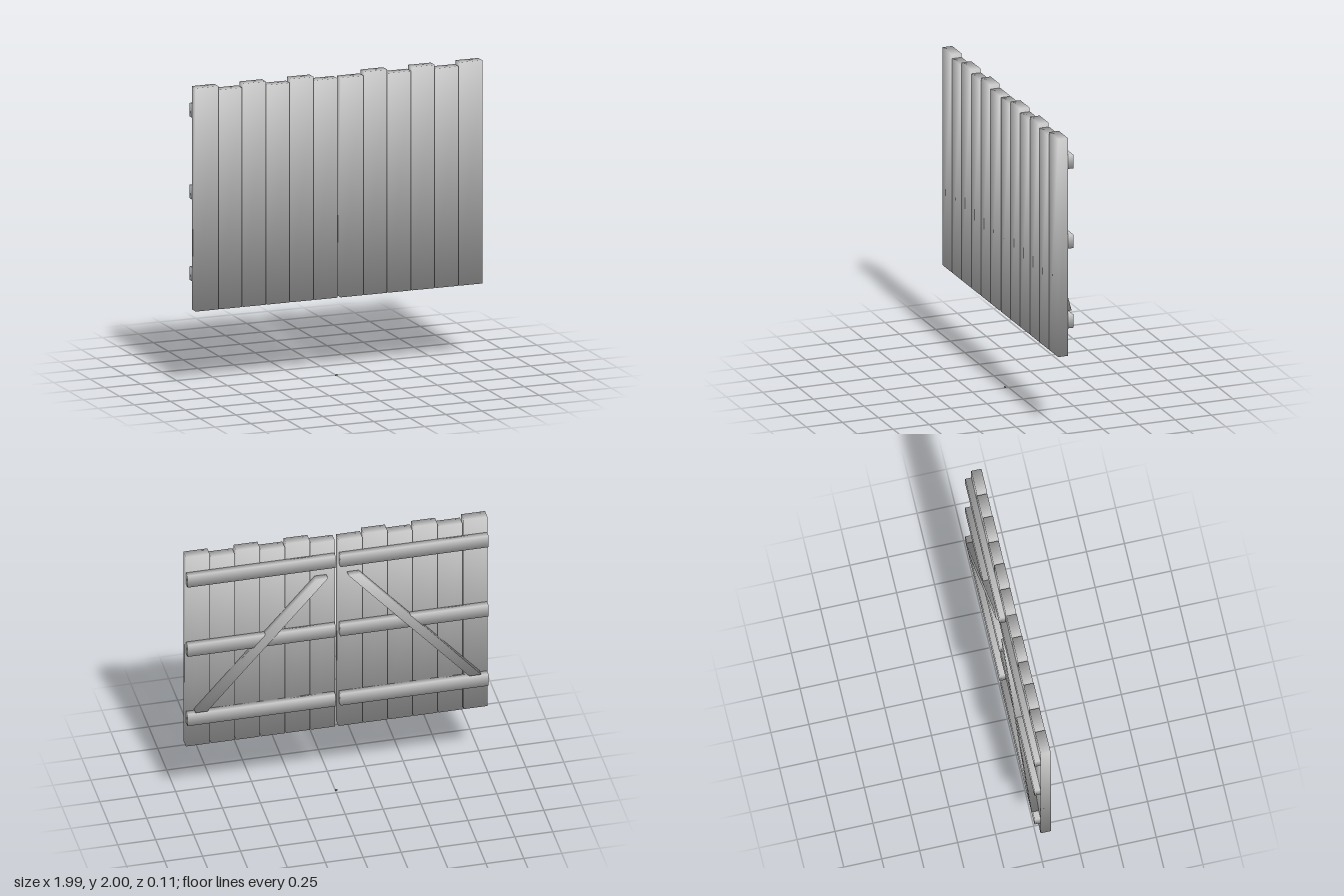
import * as THREE from 'three';
import { mergeVertices } from 'three/addons/utils/BufferGeometryUtils.js';

const wood = new THREE.MeshStandardMaterial({ color: 0xcccccc });
wood.name = 'pale grey wood';

// Box between two corners with normals shared at the corners for soft edges;
// lean slides the top (+) and bottom (-) sideways.
function softBox(name, [x0, y0, z0], [x1, y1, z1], lean = 0) {
  let geo = new THREE.BoxGeometry(x1 - x0, y1 - y0, z1 - z0);
  geo.deleteAttribute('normal');
  geo.deleteAttribute('uv');
  geo = mergeVertices(geo);
  const pos = geo.attributes.position;
  const normals = [];
  const n = new THREE.Vector3();
  for (let i = 0; i < pos.count; i++) {
    n.set(Math.sign(pos.getX(i)), Math.sign(pos.getY(i)), Math.sign(pos.getZ(i))).normalize();
    normals.push(n.x, n.y, n.z);
    pos.setX(i, pos.getX(i) + lean * Math.sign(pos.getY(i)));
  }
  geo.setAttribute('normal', new THREE.Float32BufferAttribute(normals, 3));
  const mesh = new THREE.Mesh(geo, wood);
  mesh.name = name;
  mesh.position.set((x0 + x1) / 2, (y0 + y1) / 2, (z0 + z1) / 2);
  return mesh;
}

// One gate leaf; side is +1 (left) or -1 (right)
function gateLeaf(side) {
  const leaf = new THREE.Group();
  leaf.name = side > 0 ? 'leftLeaf' : 'rightLeaf';
  const span = (a, b) => (side > 0 ? [a, b] : [-b, -a]);

  // Upright boards, alternating short and tall from the middle outward
  for (let i = 0; i < 6; i++) {
    const inner = 0.012 + i * 0.165;
    const [a, b] = span(inner, inner + 0.157);
    leaf.add(softBox('board', [a, 0.525, -0.01], [b, i % 2 ? 2 : 1.975, 0.057]));
  }

  // Horizontal rails across the back
  for (const y of [0.71, 1.25, 1.79]) {
    const [a, b] = span(0.016, 0.992);
    leaf.add(softBox('rail', [a, y, -0.05], [b, y + 0.09, -0.01]));
  }

  // Diagonal brace, cut level at both ends
  const [a, b] = span(0.466, 0.544);
  leaf.add(softBox('brace', [a, 0.81, -0.057], [b, 1.72, -0.01], -side * 0.398));
  return leaf;
}

export function createModel() {
  const gate = new THREE.Group();
  gate.name = 'gate';
  gate.add(gateLeaf(1), gateLeaf(-1));
  // Tiny floor stop between the leaves
  gate.add(softBox('floorStop', [-0.012, 0, 0.02], [0.002, 0.01, 0.026]));
  return gate;
}
